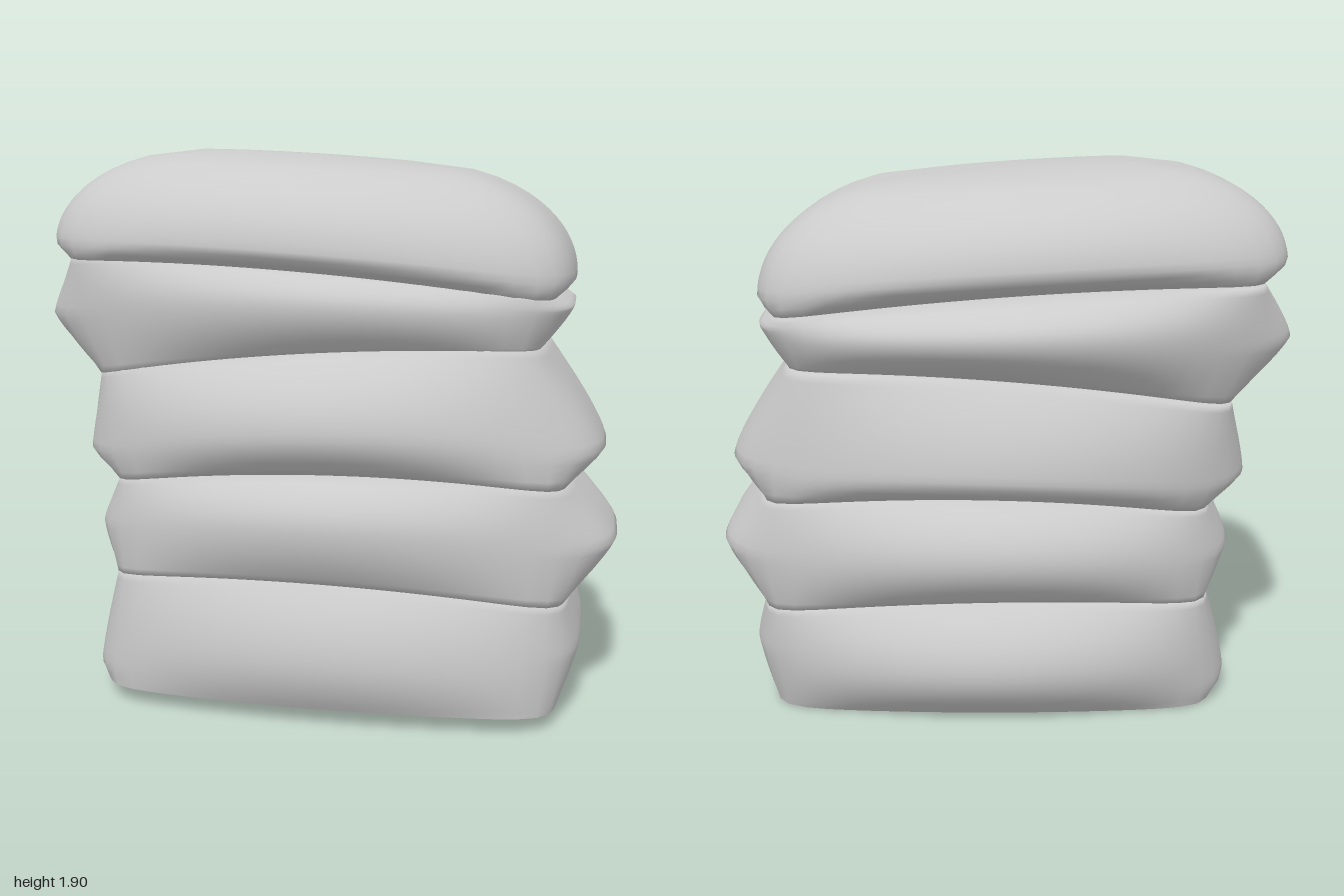
import * as THREE from 'three';

const SIDES = 96;
const LEVELS = 16;
const { lerp } = THREE.MathUtils;

// Pinched seams between the sacks: plan extents, then the height at -x, middle and +x
const seam = (x0, x1, z0, z1, yl, ym, yr) => ({ plan: [x0, x1, z0, z1], heights: [yl, ym, yr] });
const ground = seam(-0.76, 0.82, -0.42, 0.60, 0.03, 0.03, 0.03);
const seamA = seam(-0.73, 0.84, -0.46, 0.57, 0.43, 0.46, 0.40);
const seamB = seam(-0.72, 0.83, -0.47, 0.55, 0.76, 0.83, 0.79);
const seamC = seam(-0.79, 0.73, -0.49, 0.50, 1.13, 1.23, 1.25);
const seamD = seam(-0.88, 0.77, -0.54, 0.52, 1.53, 1.51, 1.42);
const crown = seam(-0.46, 0.24, -0.22, 0.20, 1.90, 1.885, 1.86);

// How the plan shrinks from the belly (0) to a seam (1)
const straight = s => s ** 1.25;
const round = s => s ** 2;
const dome = s => 1 - Math.sqrt(1 - s * s);

// belly: widest plan extents; peaks: relative height of the belly on each side (-x, +x, back, front)
const sacks = [
  { name: 'bottomSack', low: ground, high: seamA, belly: [-0.82, 0.89, -0.57, 0.66],
    peaks: [0.15, 0.55, 0.5, 0.4], tilt: 0.03 },
  { name: 'secondSack', low: seamA, high: seamB, belly: [-0.81, 1.00, -0.58, 0.65],
    peaks: [0.5, 0.5, 0.5, 0.55], tilt: 0.03 },
  { name: 'middleSack', low: seamB, high: seamC, belly: [-0.86, 0.95, -0.60, 0.65],
    peaks: [0.25, 0.25, 0.25, 0.35], tilt: 0.03 },
  { name: 'fourthSack', low: seamC, high: seamD, belly: [-1.00, 0.83, -0.66, 0.60],
    peaks: [0.5, 0.8, 0.6, 0.6], tilt: 0.02 },
  { name: 'topSack', low: seamD, high: crown, belly: [-0.97, 0.83, -0.67, 0.63],
    peaks: [0.15, 0.12, 0.2, 0.15], tilt: 0.01 },
];

// Corners stand a little inside the seam extents
const cornerOf = plan => plan.map((e, i) => e * (i < 2 ? 0.97 : 0.9));

// Ring of a sack at relative height t: bulged face middles over steady corners
function ringAt({ low, high, belly, peaks }, t) {
  const closing = high === crown;
  const lowCorner = cornerOf(low.plan), highCorner = cornerOf(high.plan);
  const plan = belly.map((wide, i) => {
    const side = i < 2 ? straight : round;
    return t < peaks[i]
      ? lerp(wide, low.plan[i], side(1 - t / peaks[i]))
      : lerp(wide, high.plan[i], (closing ? dome : side)((t - peaks[i]) / (1 - peaks[i])));
  });
  const corner = lowCorner.map((e, i) => lerp(e, highCorner[i], closing ? dome(t) : t));
  const heights = low.heights.map((y, i) => lerp(y, high.heights[i], t));
  return { plan, corner, heights };
}

// Points of a boxy loop; tilt raises the front
function loopPoints({ plan, corner, heights: [yl, ym, yr] }, tilt, inset) {
  const points = [], n = 12;
  for (let j = 0; j < SIDES; j++) {
    const angle = j / SIDES * Math.PI * 2;
    const c = Math.cos(angle), s = Math.sin(angle);
    const r = inset / (Math.abs(c) ** n + Math.abs(s) ** n) ** (1 / n);
    const u = c * r, v = s * r;
    const [x0, x1, z0, z1] = plan.map((e, i) => lerp(e, corner[i], i < 2 ? v ** 4 : u ** 2));
    const x = (x0 + x1) / 2 + (x1 - x0) / 2 * u;
    const z = (z0 + z1) / 2 + (z1 - z0) / 2 * v;
    const y = ym + (yr - yl) / 2 * u + ((yl + yr) / 2 - ym) * u * u + tilt * z / 0.5;
    points.push(x, y, z);
  }
  return points;
}

// Lofts the loops of one sack from bottom to top
function sackGeometry(sack) {
  const loops = [];
  // folded lip over the sack below; the lowest sack stays open
  if (sack.low !== ground) loops.push(loopPoints(ringAt(sack, 0), sack.tilt, 0.84));
  for (let i = 0; i <= LEVELS; i++) {
    loops.push(loopPoints(ringAt(sack, i / LEVELS), sack.tilt, 1));
  }
  // folded lip at the top, drawn together to close the crown
  loops.push(loopPoints(ringAt(sack, 1), sack.tilt, sack.high === crown ? 0 : 0.84));

  const index = [];
  for (let i = 0; i < loops.length - 1; i++) {
    for (let j = 0; j < SIDES; j++) {
      const a = i * SIDES + j, b = i * SIDES + (j + 1) % SIDES;
      index.push(a, a + SIDES, b, b, a + SIDES, b + SIDES);
    }
  }
  const geometry = new THREE.BufferGeometry();
  geometry.setAttribute('position', new THREE.Float32BufferAttribute(loops.flat(), 3));
  geometry.setIndex(index);
  geometry.computeVertexNormals();
  return geometry;
}

export function createModel() {
  const group = new THREE.Group();
  group.name = 'sackStack';
  const material = new THREE.MeshStandardMaterial({ color: 0xcccccc, side: THREE.DoubleSide });
  for (const sack of sacks) {
    const mesh = new THREE.Mesh(sackGeometry(sack), material);
    mesh.name = sack.name;
    group.add(mesh);
  }
  return group;
}
